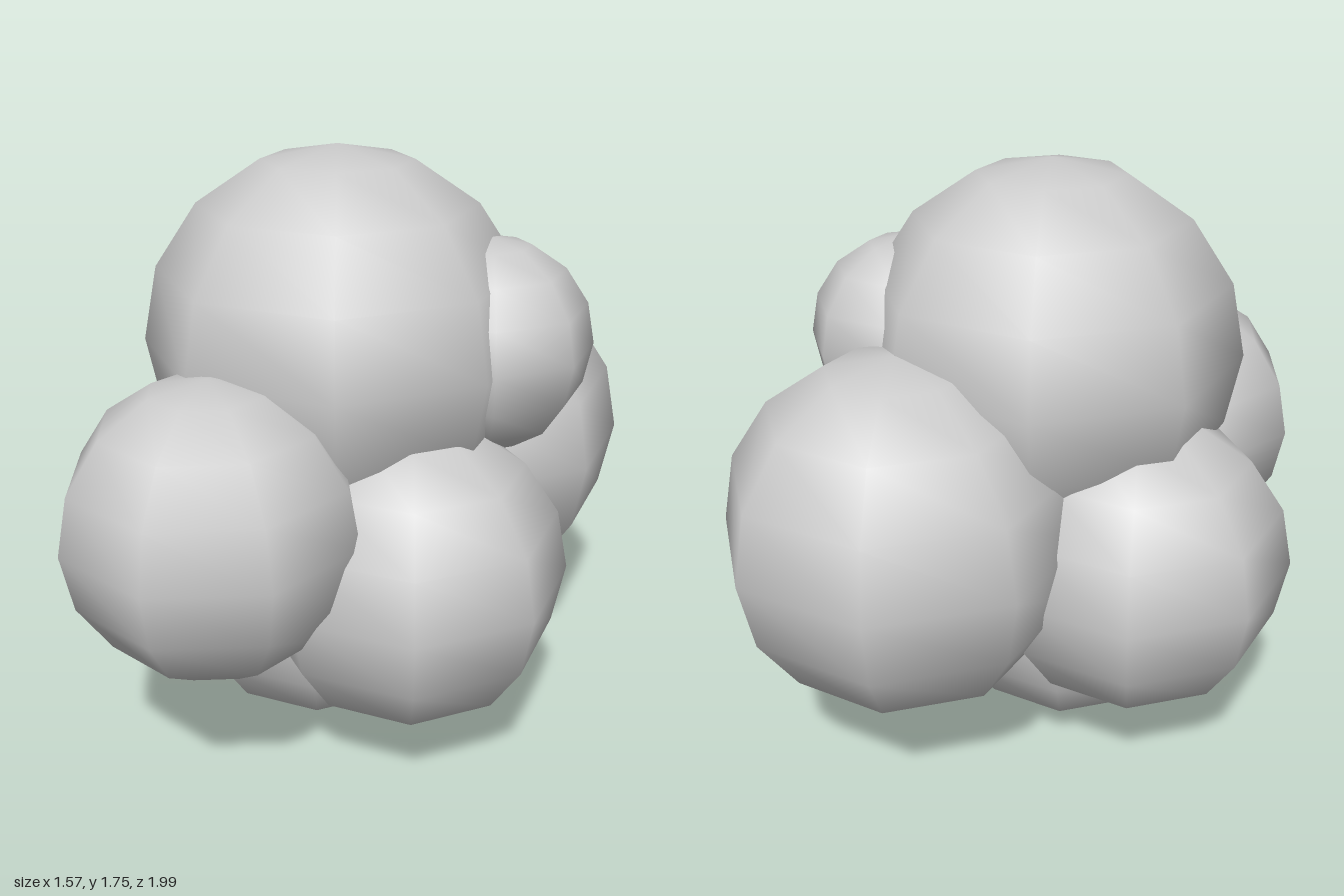
import * as THREE from 'three';

// Cluster of overlapping low-poly smooth balls: name, radius, centre, turn about y
const BALLS = [
  ['topBall', 0.555, [0, 1.19, 0.05], 0],
  ['backBall', 0.52, [0, 0.775, -0.48], 0],
  ['leftBall', 0.45, [0.335, 0.6, 0.1], 0],
  ['rightBall', 0.45, [-0.335, 0.63, 0.1], 0],
  ['frontBall', 0.417, [0.08, 0.81, 0.595], -0.33],
  ['bottomBall', 0.43, [-0.05, 0.43, 0.09], 0],
  ['smallBall', 0.307, [0.33, 1.195, -0.21], 0],
];

export function createModel() {
  const group = new THREE.Group();
  group.name = 'ballCluster';
  const material = new THREE.MeshStandardMaterial({ color: 0xcccccc });

  for (const [name, radius, centre, turn] of BALLS) {
    const ball = new THREE.Mesh(new THREE.SphereGeometry(radius, 8, 8), material);
    ball.name = name;
    ball.position.set(...centre);
    ball.rotation.y = turn;
    group.add(ball);
  }
  return group;
}
